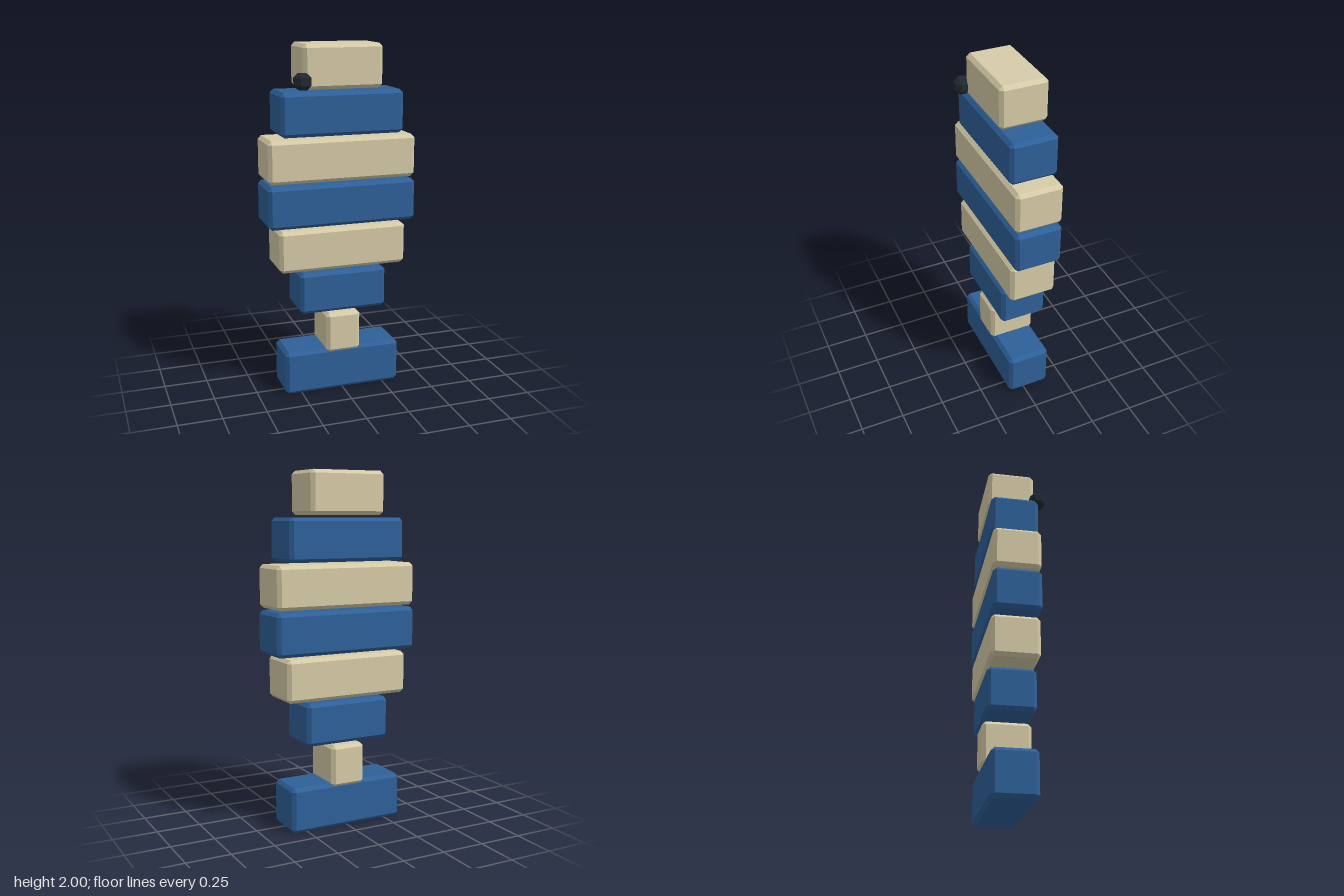
import * as THREE from 'three';
import { ConvexGeometry } from 'three/addons/geometries/ConvexGeometry.js';

// Box with every edge and corner cut by a flat chamfer c
function chamferBox(w, h, d, c) {
  const half = [w / 2, h / 2, d / 2];
  const points = [];
  for (const sx of [-1, 1]) for (const sy of [-1, 1]) for (const sz of [-1, 1]) {
    for (let full = 0; full < 3; full++) {
      const p = half.map((v, i) => (i === full ? v : v - c));
      points.push(new THREE.Vector3(sx * p[0], sy * p[1], sz * p[2]));
    }
  }
  return new ConvexGeometry(points);
}

export function createModel() {
  const group = new THREE.Group();
  const paint = (color) => new THREE.MeshStandardMaterial({ color, flatShading: true });
  const blue = paint(0x2e6099);
  const cream = paint(0xd6cba7);
  const black = paint(0x202930);

  const add = (name, size, chamfer, material, x, y, z) => {
    const mesh = new THREE.Mesh(chamferBox(...size, chamfer), material);
    mesh.name = name;
    mesh.position.set(x, y, z);
    group.add(mesh);
  };

  const zMid = -0.029;

  // Tail fin, the block it all stands on
  add('tailFin', [0.69, 0.258, 0.25], 0.02, blue, 0, 0.129, zMid);

  // Evenly spaced body slices from the tail stem up to the head
  const slices = [
    ['tailStem', 0.204], ['rearBody', 0.51], ['lowerBody', 0.744], ['middleBody', 0.86],
    ['upperBody', 0.852], ['neck', 0.704], ['head', 0.452],
  ];
  slices.forEach(([name, width], i) => {
    add(name, [width, 0.241, 0.27], 0.02, i % 2 ? blue : cream, 0, 0.356 + i * 0.254, zMid);
  });

  // Eye on the front corner of the head
  add('eye', [0.09, 0.088, 0.086], 0.024, black, -0.238, 1.808, 0.121);

  return group;
}
